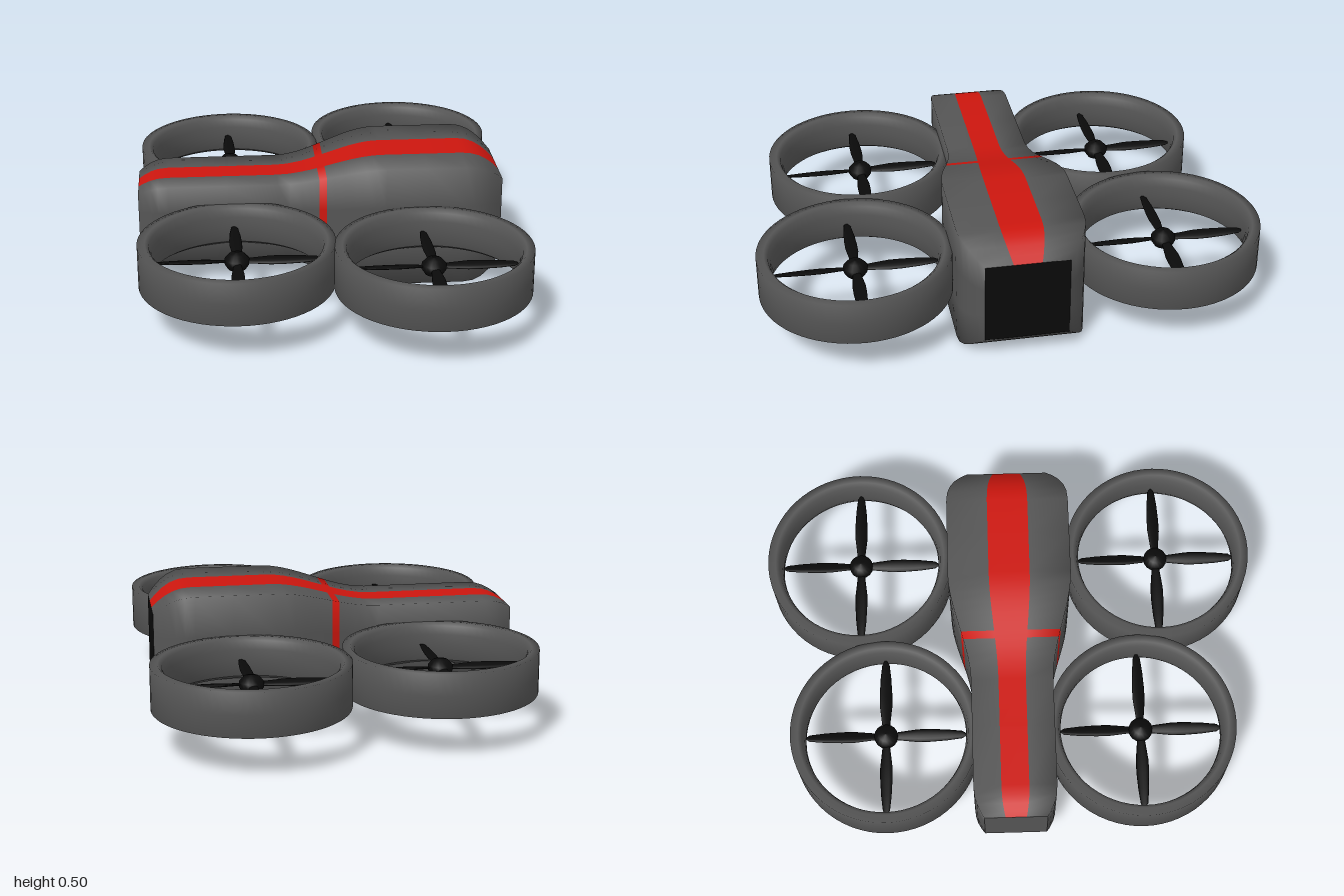
import * as THREE from 'three';

const mat = (color) => new THREE.MeshStandardMaterial({ color });
const grey = mat(0x555555), red = mat(0xcc160e), black = mat(0x0a0a0a);
const MID = 0.25; // height of the centre line

function add(parent, name, geometry, material) {
  const mesh = new THREE.Mesh(geometry, material);
  mesh.name = name;
  parent.add(mesh);
  return mesh;
}

// Half width of the square hull at station x
function hullHalf(x) {
  const swell = 0.165 + 0.085 * THREE.MathUtils.smoothstep(x, -0.2, 0.23);
  const u = Math.max(0, (x - 0.55) / 0.16), v = Math.max(0, (-0.64 - x) / 0.12);
  return swell - 0.085 * u ** 2.2 - 0.04 * v ** 2.2;
}

// Square hull lofted along x; each side has three columns, the middle top one is the stripe
function buildHull(group) {
  const xs = [-0.76, -0.74, -0.71, -0.68, -0.64, -0.4, -0.2, -0.15, -0.1, -0.065, -0.035, -0.005,
    0.03, 0.07, 0.11, 0.15, 0.19, 0.23, 0.4, 0.55, 0.59, 0.625, 0.655, 0.685, 0.71];
  const corners = [[1, 1], [-1, 1], [-1, -1], [1, -1]];
  const position = [], greyIndex = [], redIndex = [];
  for (const x of xs) {
    const h = hullHalf(x);
    for (let k = 0; k < 12; k++) {
      const [z0, y0] = corners[Math.floor(k / 3)], [z1, y1] = corners[(Math.floor(k / 3) + 1) % 4];
      const f = (k % 3) / 3;
      position.push(x, MID + h * (y0 + (y1 - y0) * f), h * (z0 + (z1 - z0) * f));
    }
  }
  for (let i = 0; i < xs.length - 1; i++) {
    const band = xs[i] === -0.035;
    for (let k = 0; k < 12; k++) {
      const a = i * 12 + k, b = i * 12 + (k + 1) % 12, c = b + 12, d = a + 12;
      (band || k === 1 ? redIndex : greyIndex).push(a, d, b, b, d, c);
    }
  }
  const whole = new THREE.BufferGeometry();
  whole.setAttribute('position', new THREE.Float32BufferAttribute(position, 3));
  whole.setIndex([...greyIndex, ...redIndex]);
  whole.computeVertexNormals();
  const painted = whole.clone();
  whole.setIndex(greyIndex);
  painted.setIndex(redIndex);
  add(group, 'hull', whole, grey);
  add(group, 'hullStripes', painted, red);

  // End panels
  for (const [name, x, turn, m] of [['narrowEndPanel', -0.76, -1, grey], ['wideEndPanel', 0.71, 1, black]]) {
    const size = 2 * hullHalf(x);
    const panel = add(group, name, new THREE.PlaneGeometry(size, size), m);
    panel.position.set(x, MID, 0);
    panel.rotation.y = turn * Math.PI / 2;
  }
}

const points = (list) => list.map(([x, y]) => new THREE.Vector2(x, y));

// Duct ring: straight outer wall, flat lip, rounded inner wall
const ductGeometry = new THREE.LatheGeometry(points([
  [0.338, -0.07], [0.36, -0.085], [0.381, -0.086], [0.381, 0], [0.381, 0.086],
  [0.35, 0.088], [0.335, 0.075], [0.327, 0.04], [0.325, 0], [0.328, -0.04], [0.338, -0.07],
]), 64);

// Flattened, tapered blade running out along +x
const bladeGeometry = new THREE.LatheGeometry(points([
  [0, 0], [0.013, 0.02], [0.019, 0.07], [0.026, 0.13], [0.026, 0.18], [0.022, 0.25], [0.015, 0.31], [0, 0.333],
]), 12).scale(0.3, 1, 1).rotateZ(-Math.PI / 2).rotateX(0.25);

const hubGeometry = new THREE.LatheGeometry(points([
  [0, -0.035], [0.035, -0.03], [0.048, -0.01], [0.048, 0.01], [0.03, 0.03], [0, 0.037],
]), 16);

function buildRotor(name, x, z) {
  const rotor = new THREE.Group();
  rotor.name = name;
  rotor.position.set(x, MID, z);
  add(rotor, 'duct', ductGeometry, grey);
  add(rotor, 'hub', hubGeometry, black);
  for (let i = 0; i < 4; i++) add(rotor, 'blade', bladeGeometry, black).rotation.y = i * Math.PI / 2;
  return rotor;
}

export function createModel() {
  const model = new THREE.Group();
  model.name = 'quadcopter';
  buildHull(model);
  // Two rotors on each side of the hull
  for (const side of [1, -1]) {
    model.add(buildRotor('wideEndRotor', 0.373, side * 0.619));
    model.add(buildRotor('narrowEndRotor', -0.377, side * 0.517));
  }
  return model;
}
